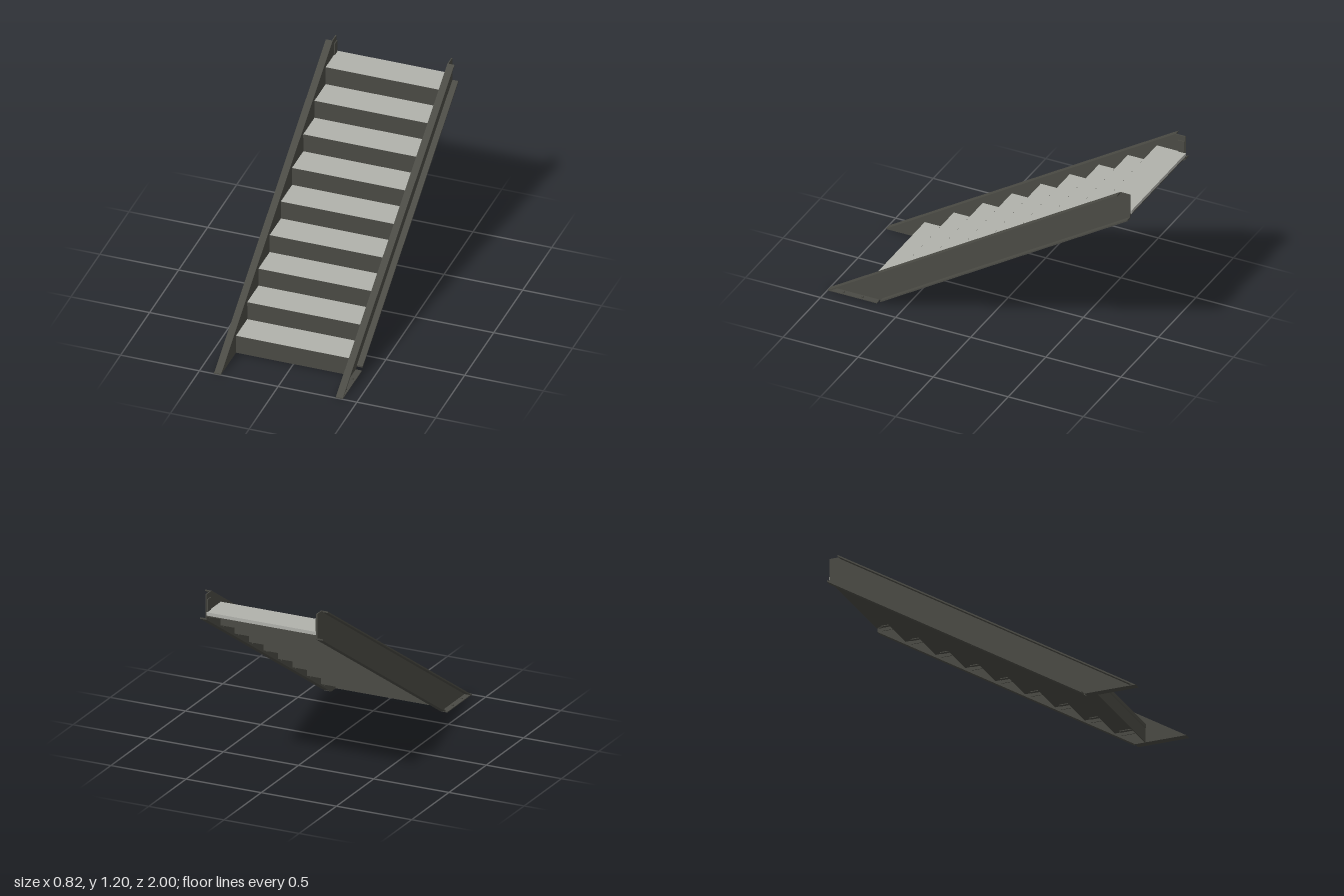
import * as THREE from 'three';

const steel = new THREE.MeshStandardMaterial({ color: 0x4a4a44 });
steel.name = 'dark steel';
const concrete = new THREE.MeshStandardMaterial({ color: 0xb0b1ab });
concrete.name = 'tread concrete';

const STEPS = 9, RISE = 0.1212, RUN = 0.1932, FRONT = 0.737;
const IN = 0.364, OUT = 0.408; // inner and outer faces of the channel stringers

export function createModel() {
  const model = new THREE.Group();

  function add(parent, name, geometry, material = steel) {
    const mesh = new THREE.Mesh(geometry, material);
    mesh.name = name;
    parent.add(mesh);
    return mesh;
  }

  // box given by its limits on each axis
  function box(parent, name, [x0, x1], [y0, y1], [z0, z1], material) {
    const g = new THREE.BoxGeometry(Math.abs(x1 - x0), y1 - y0, z1 - z0);
    g.translate((x0 + x1) / 2, (y0 + y1) / 2, (z0 + z1) / 2);
    return add(parent, name, g, material);
  }

  // side profile of [z, y] points, extruded from x0 to x1
  function plate(parent, name, points, x0, x1) {
    const shape = new THREE.Shape(points.map(([z, y]) => new THREE.Vector2(z, y)));
    const g = new THREE.ExtrudeGeometry(shape, { depth: Math.abs(x1 - x0), bevelEnabled: false });
    g.rotateY(-Math.PI / 2);
    g.translate(Math.max(x0, x1), 0, 0);
    return add(parent, name, g);
  }

  // sloping channel stringers, flanges turned outward
  for (const s of [1, -1]) {
    const stringer = new THREE.Group();
    stringer.name = s > 0 ? 'leftStringer' : 'rightStringer';
    model.add(stringer);
    plate(stringer, 'web',
      [[1, 0], [-0.93, 1.204], [-0.997, 1.204], [-0.997, 1.04], [0.67, 0]], s * IN, s * (IN + 0.007));
    plate(stringer, 'topFlange',
      [[1, 0], [-0.93, 1.204], [-0.93, 1.194], [0.984, 0]], s * IN, s * OUT);
    plate(stringer, 'bottomFlange',
      [[0.65, 0.0125], [0.65, 0.0225], [-0.997, 1.05], [-0.997, 1.04]], s * IN, s * OUT);

    // foot plate with two anchor bolts
    box(stringer, 'footPlate', [s * IN, s * (OUT + 0.002)], [0, 0.005], [0.67, 0.997]);
    for (const z of [0.9, 0.775]) {
      const bolt = new THREE.CylinderGeometry(0.008, 0.008, 0.008, 12);
      bolt.translate(s * 0.391, 0.008, z);
      add(stringer, 'anchorBolt', bolt);
    }

    // upright connection plate at the upper end
    box(stringer, 'endPlate', [s * (IN - 0.006), s * IN], [1.06, 1.17], [-0.995, -0.95]);
  }

  // steps: riser, shallow pan with filling, and support angles at each end
  for (let i = 0; i < STEPS; i++) {
    const step = new THREE.Group();
    step.name = `step${i + 1}`;
    model.add(step);
    const top = RISE * (i + 1), zf = FRONT - RUN * i, zb = zf - RUN;
    const under = top - 0.027;
    box(step, 'riser', [-IN, IN], [i ? top - RISE - 0.027 : 0, top - 0.001], [zf - 0.006, zf]);
    box(step, 'noseLip', [-IN, IN], [under, top - 0.001], [zf, zf + 0.002]);
    box(step, 'treadPan', [-IN, IN], [under, under + 0.006], [zb, zf - 0.006]);
    box(step, 'treadFill', [-IN, IN], [under + 0.006, top], [zb, zf + 0.001], concrete);

    for (const s of [1, -1]) {
      const z = [zb + 0.035, zf - 0.03];
      box(step, 'angleUpright', [s * (IN - 0.005), s * IN], [under - 0.025, under], z);
      box(step, 'angleLedge', [s * (IN - 0.025), s * (IN - 0.005)], [under - 0.005, under], z);
    }
  }

  return model;
}
